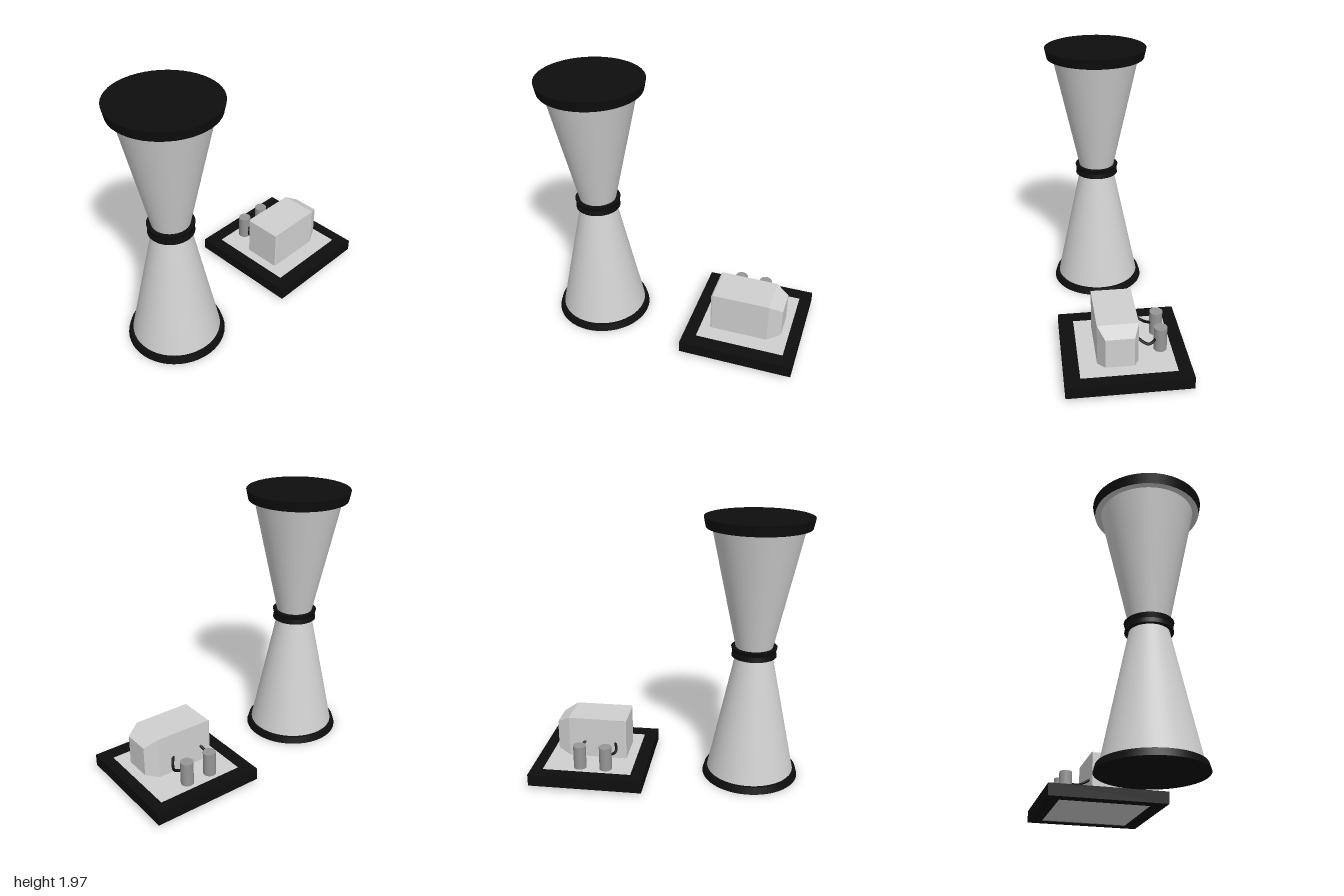
import * as THREE from 'three';

const mat = (name, color, extra = {}) => Object.assign(new THREE.MeshStandardMaterial({ color, ...extra }), { name });

export function createModel() {
  const black = mat('black', 0x0e0e0e);
  const light = mat('light grey', 0xd0d0d0);
  const grey = mat('mid grey', 0x969696);

  const model = new THREE.Group();
  model.name = 'towerAndControlBox';

  const add = (parent, name, geometry, material, x = 0, y = 0, z = 0) => {
    const mesh = new THREE.Mesh(geometry, material);
    mesh.name = name;
    mesh.position.set(x, y, z);
    parent.add(mesh);
    return mesh;
  };

  // Hourglass tower: stacked truncated cones, each given by its two heights and radii
  const tower = new THREE.Group();
  tower.name = 'tower';
  tower.position.set(0.053, 0, 0.612);
  model.add(tower);
  const cone = (name, y0, y1, r0, r1, material, open = false) =>
    add(tower, name, new THREE.CylinderGeometry(r1, r0, y1 - y0, 48, 1, open), material, 0, (y0 + y1) / 2, 0);
  cone('footRing', 0, 0.05, 0.362, 0.347, black);
  cone('lowerCone', 0.05, 0.97, 0.326, 0.133, light, true);
  cone('waistCollarLower', 0.955, 0.99, 0.165, 0.159, black);
  cone('waistCollarUpper', 0.99, 1.025, 0.159, 0.168, black);
  cone('upperCone', 1.01, 1.895, 0.133, 0.325, light, true);
  // the cap has a light underside
  cone('topCap', 1.895, 1.968, 0.368, 0.383, [black, black, light]);

  // Base: black square frame around a light plate
  const base = new THREE.Group();
  base.name = 'controlBase';
  model.add(base);
  const rect = (P, x0, x1, y0, y1) => {
    const p = new P();
    p.moveTo(x0, y0); p.lineTo(x1, y0); p.lineTo(x1, y1); p.lineTo(x0, y1);
    p.closePath();
    return p;
  };
  const outline = rect(THREE.Shape, -0.442, 0.436, 0.153, 1.0);
  outline.holes.push(rect(THREE.Path, -0.344, 0.328, 0.249, 0.915));
  const frame = new THREE.ExtrudeGeometry(outline, { depth: 0.09, bevelEnabled: false });
  frame.rotateX(-Math.PI / 2);
  add(base, 'baseFrame', frame, black, 0, 0.028, 0);
  add(base, 'basePlate', new THREE.BoxGeometry(0.672, 0.08, 0.666), light, -0.008, 0.073, -0.582);

  // Box body: rectangular sections from back to front [z, x0, x1, y0, y1]
  const sections = [
    [-0.862, -0.048, 0.153, 0.15, 0.374],
    [-0.765, -0.088, 0.2, 0.113, 0.428],
    [-0.336, -0.092, 0.2, 0.113, 0.428],
    [-0.325, -0.088, 0.196, 0.113, 0.418],
  ];
  const pos = [], index = [];
  for (const [z, x0, x1, y0, y1] of sections) pos.push(x0, y0, z, x1, y0, z, x1, y1, z, x0, y1, z);
  for (let s = 0; s < sections.length - 1; s++) {
    for (let i = 0; i < 4; i++) {
      const a = s * 4 + i, b = s * 4 + (i + 1) % 4;
      index.push(a, b, b + 4, a, b + 4, a + 4);
    }
  }
  const f = (sections.length - 1) * 4;
  index.push(0, 2, 1, 0, 3, 2, f, f + 1, f + 2, f, f + 2, f + 3);
  const indexed = new THREE.BufferGeometry();
  indexed.setAttribute('position', new THREE.Float32BufferAttribute(pos, 3));
  indexed.setIndex(index);
  const body = indexed.toNonIndexed();
  body.computeVertexNormals();
  add(base, 'controlBox', body, light);

  // Two posts, each wired to the box
  for (const z of [-0.645, -0.45]) {
    add(base, 'post', new THREE.CylinderGeometry(0.047, 0.047, 0.183, 32), grey, -0.262, 0.2015, z);
  }
  const wires = [
    [[-0.23, 0.21, -0.655], [-0.205, 0.2, -0.682], [-0.17, 0.19, -0.693], [-0.13, 0.205, -0.678], [-0.08, 0.24, -0.64]],
    [[-0.23, 0.21, -0.465], [-0.2, 0.2, -0.445], [-0.17, 0.19, -0.408], [-0.135, 0.205, -0.393], [-0.08, 0.24, -0.412]],
  ];
  for (const points of wires) {
    const curve = new THREE.CatmullRomCurve3(points.map((p) => new THREE.Vector3(...p)));
    add(base, 'wire', new THREE.TubeGeometry(curve, 24, 0.01, 8), black);
  }

  return model;
}
